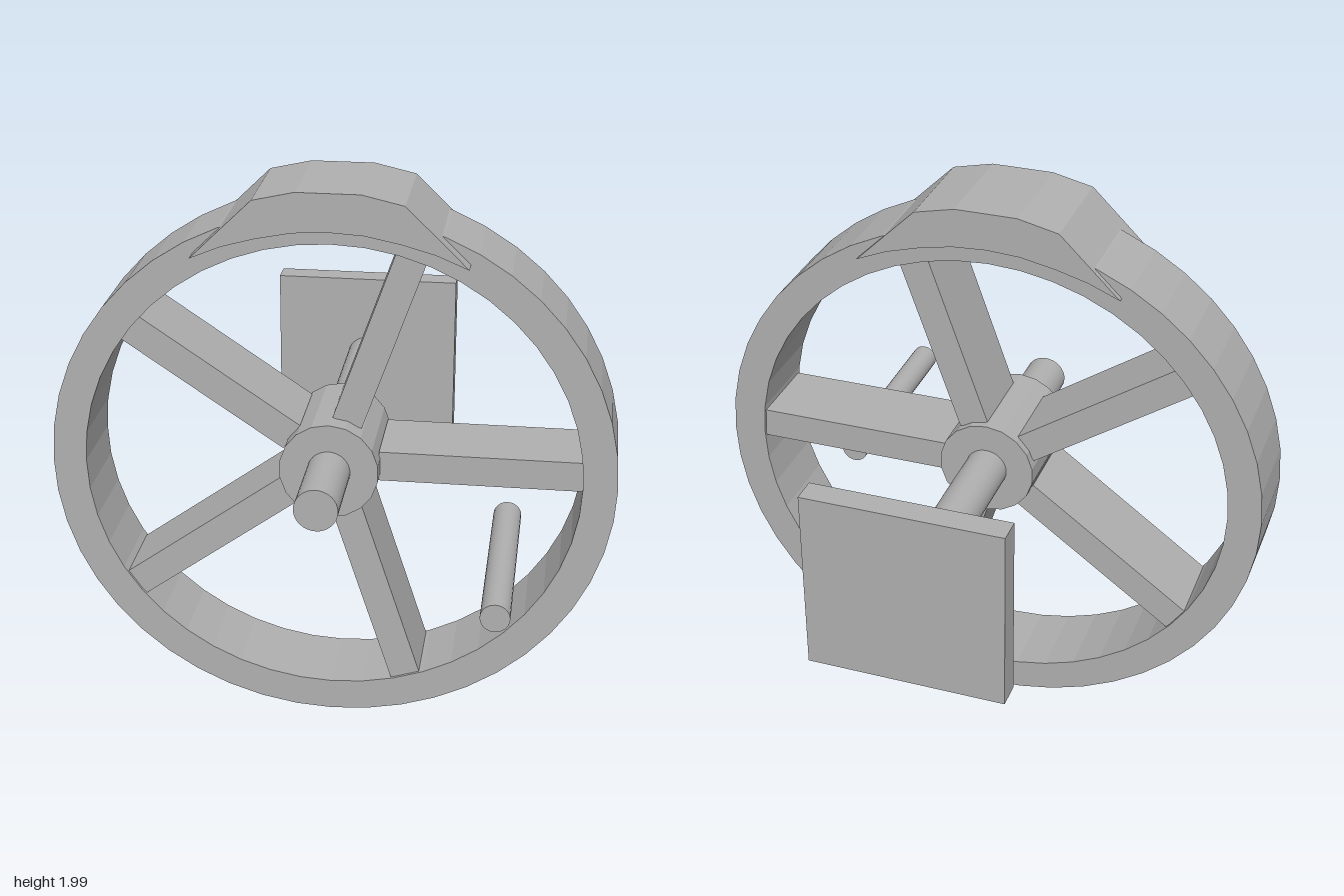
import * as THREE from 'three';

const AXLE_Y = 1.0;
const RIM_Y = 0.965;
const RIM_SQUASH = 0.957; // the rim is slightly oval

export function createModel() {
  const group = new THREE.Group();
  const grey = new THREE.MeshStandardMaterial({ color: 0xb0b0b0 });
  grey.name = 'grey metal';
  grey.flatShading = true;
  const smoothGrey = grey.clone();
  smoothGrey.flatShading = false;

  const add = (name, geometry, material = grey) => {
    const mesh = new THREE.Mesh(geometry, material);
    mesh.name = name;
    group.add(mesh);
    return mesh;
  };

  // Cylinder running along z from z0 to z1
  const rod = (name, x, y, radius, z0, z1, sides, material) => {
    const g = new THREE.CylinderGeometry(radius, radius, z1 - z0, sides).rotateX(Math.PI / 2);
    add(name, g, material).position.set(x, y, (z0 + z1) / 2);
  };

  // Flat shape given thickness from z0 to z1
  const slab = (name, shape, z0, z1) => {
    const g = new THREE.ExtrudeGeometry(shape, { depth: z1 - z0, bevelEnabled: false });
    add(name, g.translate(0, 0, z0));
  };

  const oval = (radius, sides) => Array.from({ length: sides }, (_, i) => {
    const a = (i / sides) * Math.PI * 2;
    return new THREE.Vector2(Math.cos(a) * radius, RIM_Y + Math.sin(a) * radius * RIM_SQUASH);
  });

  // Wheel rim
  const rim = new THREE.Shape(oval(1, 48));
  rim.holes.push(new THREE.Path(oval(0.88, 48)));
  slab('rim', rim, -0.07, 0.24);

  // Counterweight clamped over the top of the rim
  const half = [[0.11, 2.0], [0.255, 1.967], [0.37, 1.855], [0.47, 1.757],
    [0.36, 1.803], [0.245, 1.835], [0.12, 1.86]];
  const outline = [
    ...half.map(([x, y]) => new THREE.Vector2(x, y)),
    new THREE.Vector2(0, 1.867),
    ...half.slice().reverse().map(([x, y]) => new THREE.Vector2(-x, y)),
  ];
  slab('counterweight', new THREE.Shape(outline), -0.09, 0.3);

  // Spokes reach from the hub to the oval rim
  for (const degrees of [0, 70.5, 146, 216, 288]) {
    const a = THREE.MathUtils.degToRad(degrees);
    const inner = 0.168;
    // step outward until the spoke is just inside the rim material
    let outer = 0.7;
    while (Math.hypot(Math.cos(a) * outer,
      (AXLE_Y + Math.sin(a) * outer - RIM_Y) / RIM_SQUASH) < 0.888) outer += 0.002;
    const spoke = add('spoke', new THREE.BoxGeometry(outer - inner, 0.108, 0.29));
    const mid = (inner + outer) / 2;
    spoke.position.set(Math.cos(a) * mid, AXLE_Y + Math.sin(a) * mid, 0.085);
    spoke.rotation.z = a;
  }

  // Hub, axle and crank handle
  rod('hub', 0, AXLE_Y, 0.175, -0.09, 0.3, 18, grey);
  rod('axle', 0, AXLE_Y, 0.076, -0.83, 0.61, 32, smoothGrey);
  rod('handle', 0.62, 0.805, 0.049, 0.155, 0.91, 24, smoothGrey);

  // Square mounting plate at the back
  add('mountingPlate', new THREE.BoxGeometry(0.7, 0.665, 0.09)).position.set(0, 0.988, -0.865);

  // Bent brace under the axle: [z, centre height, half height] per section
  const sections = [[-0.825, 0.695, 0.052], [-0.545, 0.882, 0.04], [-0.265, 0.91, 0.026]];
  const brace = new THREE.CylinderGeometry(1, 1, 1, 8, 2).rotateY(Math.PI / 8);
  const p = brace.attributes.position;
  for (let i = 0; i < p.count; i++) {
    const [z, cy, h] = sections[Math.round((p.getY(i) + 0.5) * 2)];
    p.setXYZ(i, p.getX(i) * 0.048, cy - p.getZ(i) * h, z);
  }
  brace.computeVertexNormals();
  add('brace', brace);

  return group;
}
